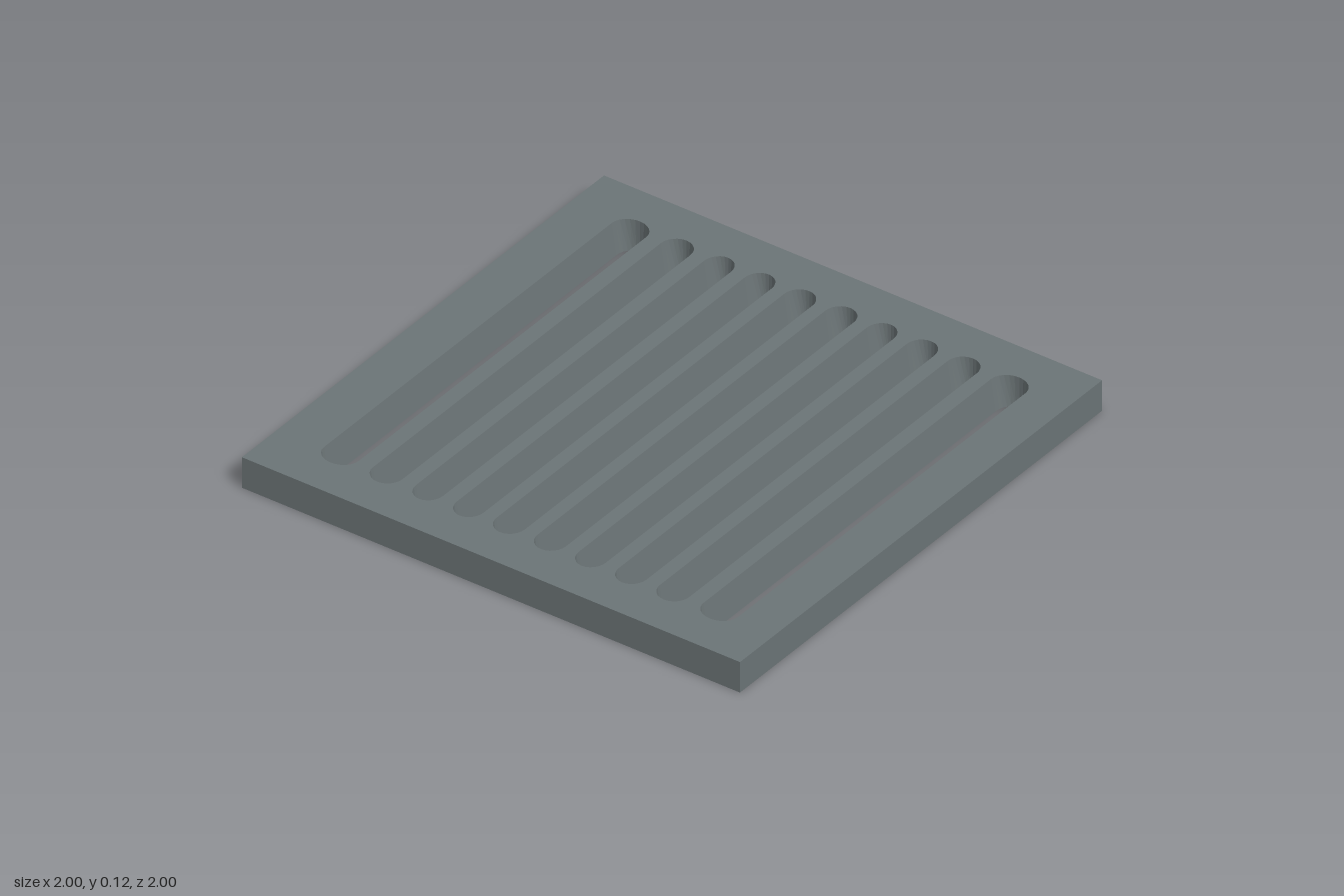
import * as THREE from 'three';

const HEIGHT = 0.12;
const END = 0.855;      // half length of every slot
const CAP = 0.06;       // depth of the rounded ends
const TAPER = 0.018;    // each long wall leans in by this much at the bottom

// [centre x, half width at the top]
const SLOTS = [
  [-0.75, 0.069], [-0.563, 0.059], [-0.395, 0.054], [-0.232, 0.054], [-0.07, 0.057],
  [0.095, 0.057], [0.258, 0.054], [0.42, 0.056], [0.588, 0.059], [0.773, 0.069],
];

// Long opening with rounded ends
function slotPath(x, w) {
  const points = [];
  const steps = 12;
  for (const side of [1, -1]) {
    for (let i = 0; i <= steps; i++) {
      const a = (i / steps) * Math.PI;
      points.push(new THREE.Vector2(
        x + side * w * Math.cos(a),
        side * (END - CAP + CAP * Math.sin(a)),
      ));
    }
  }
  return new THREE.Path(points);
}

export function createModel() {
  const group = new THREE.Group();
  group.name = 'drainGrate';

  const iron = new THREE.MeshStandardMaterial({ color: 0x6b7476 });
  iron.name = 'iron grey';

  // Square plate pierced by the slots
  const plate = new THREE.Shape([
    new THREE.Vector2(-1, -1), new THREE.Vector2(1, -1),
    new THREE.Vector2(1, 1), new THREE.Vector2(-1, 1),
  ]);
  plate.holes = SLOTS.map(([x, w]) => slotPath(x, w));

  const geometry = new THREE.ExtrudeGeometry(plate, { depth: HEIGHT, bevelEnabled: false });
  geometry.rotateX(-Math.PI / 2);

  // Narrow each slot towards the underside
  const pos = geometry.attributes.position;
  for (let i = 0; i < pos.count; i++) {
    const x = pos.getX(i);
    if (pos.getY(i) > HEIGHT / 2 || Math.abs(x) > 0.95) continue;
    const slot = SLOTS.find(([c, w]) => Math.abs(x - c) < w + 0.005);
    if (!slot) continue;
    const [c, w] = slot;
    pos.setX(i, c + (x - c) * (w - TAPER) / w);
  }
  geometry.computeVertexNormals();

  const grate = new THREE.Mesh(geometry, iron);
  grate.name = 'slottedPlate';
  group.add(grate);
  return group;
}
